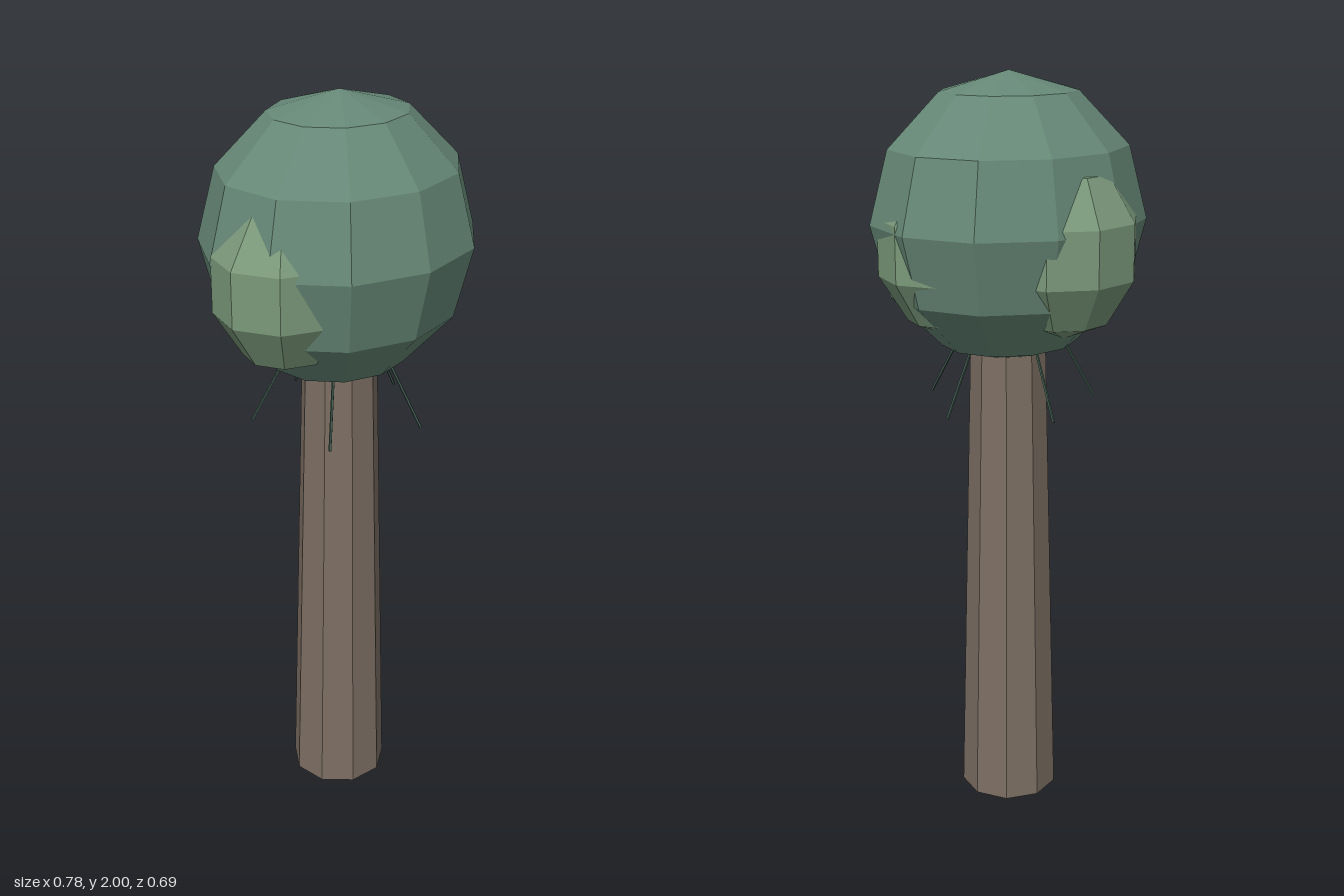
import * as THREE from 'three';

const material = (color) => new THREE.MeshStandardMaterial({ color, flatShading: true });
const leaf = material(0x668877);
const lightLeaf = material(0x7b997b);
const bark = material(0x7d6f63);
const twigGreen = material(0x3f5a4e);

// Faceted ball stretched to an ellipsoid; phi turns its first vertex away from -x
function ball(name, mat, centre, radii, sides, rings, phi) {
  const geometry = new THREE.SphereGeometry(1, sides, rings, phi, Math.PI * 2);
  geometry.scale(...radii);
  const mesh = new THREE.Mesh(geometry, mat);
  mesh.name = name;
  mesh.position.set(...centre);
  return mesh;
}

// Thin rod between two points
function rod(name, a, b, radius, mat) {
  const axis = b.clone().sub(a);
  const mesh = new THREE.Mesh(new THREE.CylinderGeometry(radius, radius, axis.length(), 5), mat);
  mesh.name = name;
  mesh.position.copy(a).add(b).multiplyScalar(0.5);
  mesh.quaternion.setFromUnitVectors(new THREE.Vector3(0, 1, 0), axis.normalize());
  return mesh;
}

export function createModel() {
  const tree = new THREE.Group();
  tree.name = 'tree';
  const cx = 0.012, cz = 0.01;

  // Tapered nine-sided trunk
  const trunkHeight = 1.32;
  const trunk = new THREE.Mesh(
    new THREE.CylinderGeometry(0.1, 0.133, trunkHeight, 9, 1, false, Math.PI / 2), bark);
  trunk.name = 'trunk';
  trunk.position.set(cx, trunkHeight / 2, cz + 0.003);
  tree.add(trunk);

  // Main crown
  tree.add(ball('crown', leaf, [cx, 1.628, cz], [0.376, 0.372, 0.338], 11, 6, Math.PI));

  // Paler leaf clumps pushing out of the crown
  const clumps = [
    ['rightClump', -0.193, 0.027, 0],
    ['leftClump', 0.178, 0.05, Math.PI],
    ['backClump', 0.0125, -0.183, Math.PI / 2],
  ];
  for (const [name, x, z, phi] of clumps) {
    tree.add(ball(name, lightLeaf, [x, 1.575, z], [0.207, 0.232, 0.187], 9, 5, phi));
  }

  // Five twigs splaying down from under the crown
  const twigs = new THREE.Group();
  twigs.name = 'twigs';
  for (let i = 0; i < 5; i++) {
    const angle = (i / 5) * Math.PI * 2;
    const at = (r, y) => new THREE.Vector3(cx + r * Math.cos(angle), y, cz + r * Math.sin(angle));
    twigs.add(rod('twig', at(0.09, 1.405), at(0.233, 1.14), 0.004, twigGreen));
  }
  tree.add(twigs);

  return tree;
}
